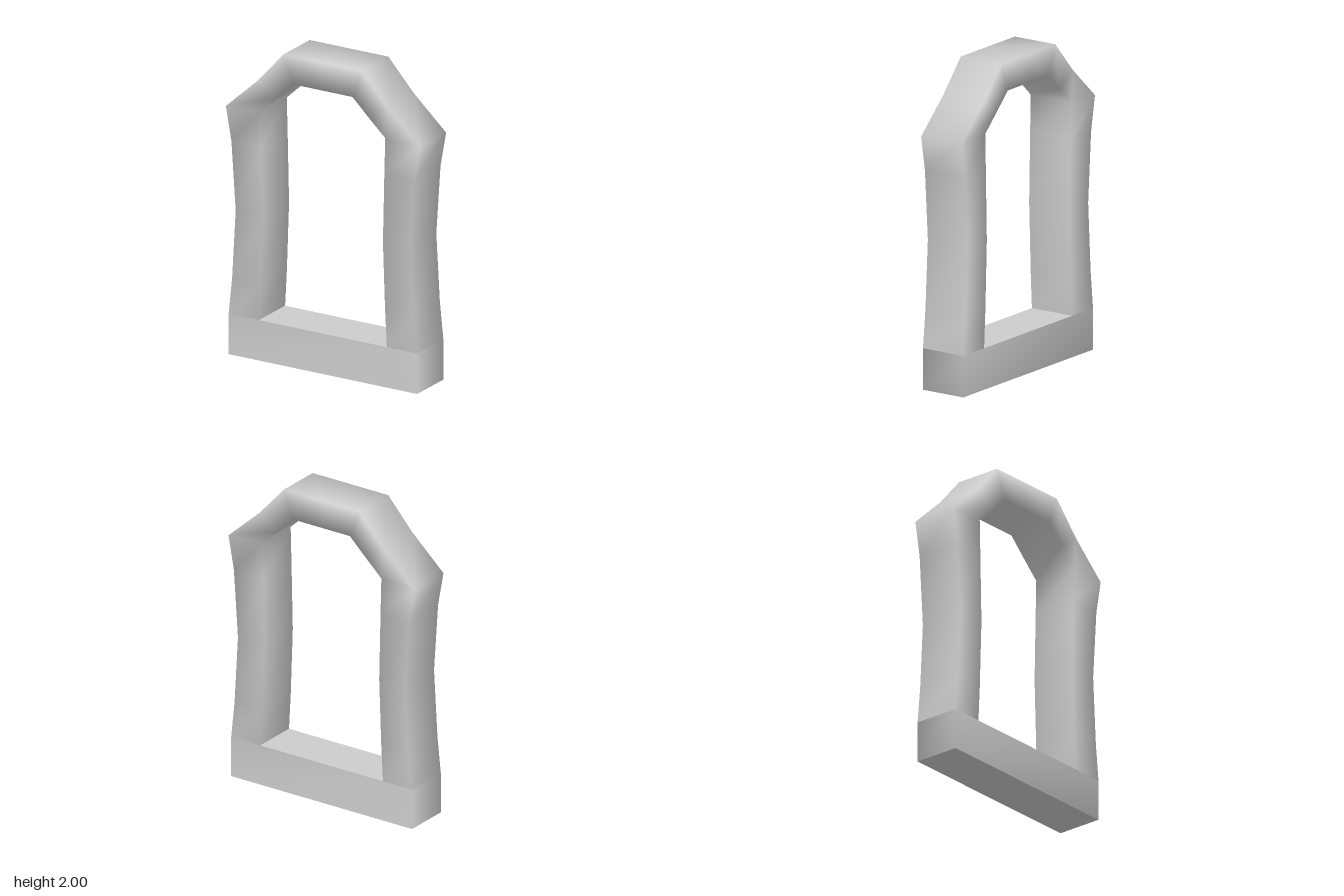
import * as THREE from 'three';

const HALF_DEPTH = 0.15;

// Joins a row of four-cornered rings into a smooth-shaded, open-ended skin.
function skinRings(rings, material, name) {
  const positions = rings.flat(2);
  const index = [];
  for (let i = 0; i < rings.length - 1; i++) {
    for (let j = 0; j < 4; j++) {
      const a = i * 4 + j, b = i * 4 + (j + 1) % 4;
      index.push(a, b, b + 4, a, b + 4, a + 4);
    }
  }
  const geometry = new THREE.BufferGeometry();
  geometry.setAttribute('position', new THREE.Float32BufferAttribute(positions, 3));
  geometry.setIndex(index);
  geometry.computeVertexNormals();
  const mesh = new THREE.Mesh(geometry, material);
  mesh.name = name;
  return mesh;
}

export function createModel() {
  const model = new THREE.Group();
  model.name = 'archFrame';
  const stone = new THREE.MeshStandardMaterial({ color: 0xcccccc });
  stone.name = 'pale grey';

  // Half profile of the arch, foot to crown: outer x, y, inner x, y
  const half = [
    [0.67, 0.26, 0.455, 0.26],
    [0.645, 0.5, 0.442, 0.5],
    [0.62, 0.93, 0.427, 0.93],
    [0.65, 1.37, 0.437, 1.37],
    [0.69, 1.59, 0.443, 1.6],
    [0.46, 1.8, 0.325, 1.71],
    [0.28, 2.0, 0.21, 1.82],
    [0, 2.0, 0, 1.82],
  ];
  const mirrored = half.slice(0, -1).reverse().map(([ox, oy, ix, iy]) => [-ox, oy, -ix, iy]);
  const rings = [...half, ...mirrored].map(([ox, oy, ix, iy]) => [
    [ox, oy, HALF_DEPTH],
    [ox, oy, -HALF_DEPTH],
    [ix, iy, -HALF_DEPTH],
    [ix, iy, HALF_DEPTH],
  ]);
  model.add(skinRings(rings, stone, 'arch'));

  // Sill: softly shaded walls with crisp top and bottom
  const sill = new THREE.Group();
  sill.name = 'sill';
  const wallRing = (y) => [
    [-0.67, y, HALF_DEPTH],
    [0.67, y, HALF_DEPTH],
    [0.67, y, -HALF_DEPTH],
    [-0.67, y, -HALF_DEPTH],
  ];
  sill.add(skinRings([wallRing(0), wallRing(0.26)], stone, 'sillWalls'));
  for (const [name, y, turn] of [['sillTop', 0.26, -1], ['sillBottom', 0, 1]]) {
    const face = new THREE.Mesh(new THREE.PlaneGeometry(1.34, HALF_DEPTH * 2), stone);
    face.name = name;
    face.rotation.x = turn * Math.PI / 2;
    face.position.y = y;
    sill.add(face);
  }
  model.add(sill);
  return model;
}
